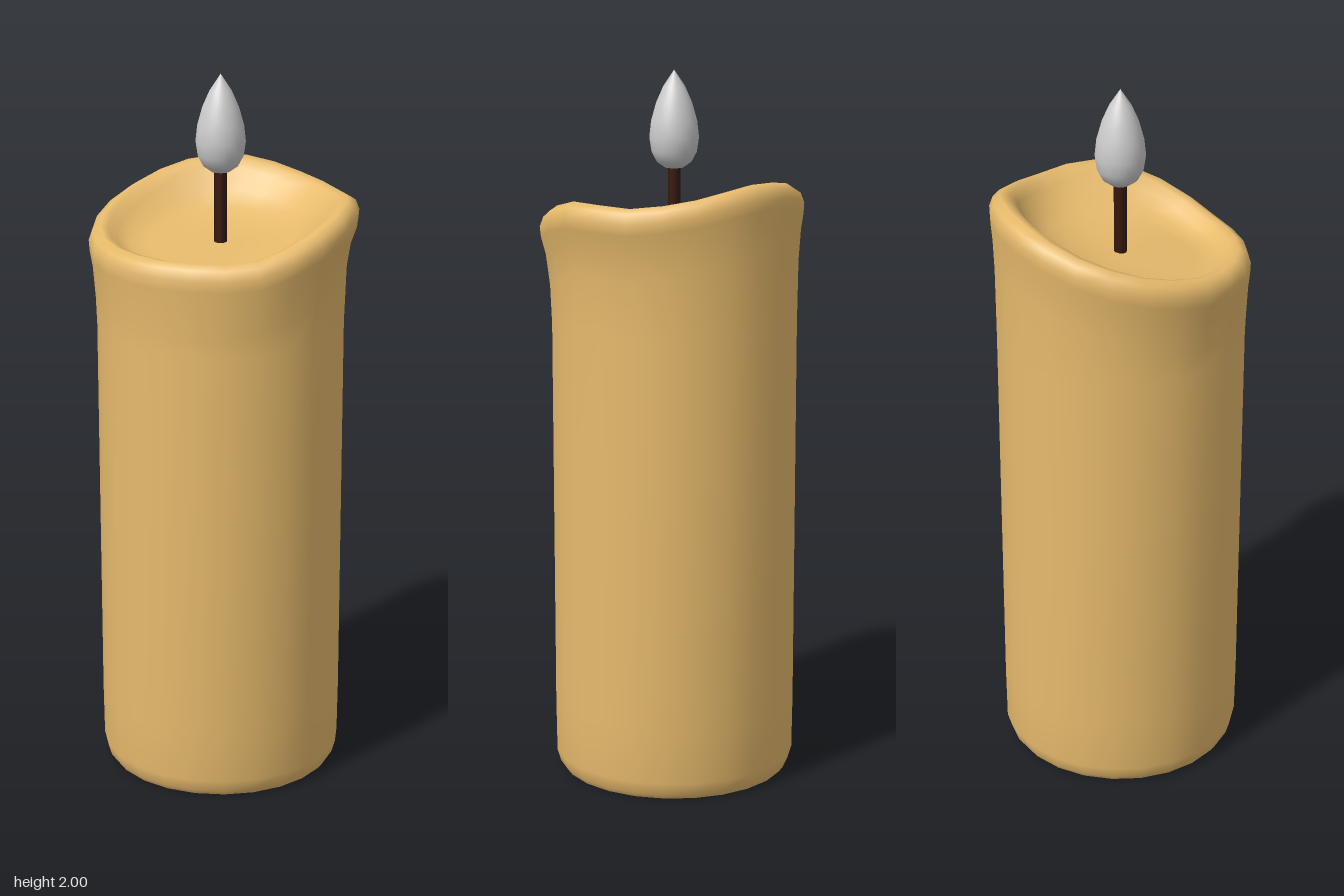
import * as THREE from 'three';

const SEGMENTS = 24;
const AXIS_X = -0.01;

// Rim height every 30 degrees, from +x turning towards +z
const RIM = [1.665, 1.615, 1.555, 1.55, 1.555, 1.567, 1.6, 1.65, 1.7, 1.712, 1.68, 1.657];

// Rim height at a segment, smoothed halfway between the listed values
function rimHeight(j) {
  const i = Math.floor(j / 2);
  const at = (k) => RIM[(k + 12) % 12];
  return j % 2 ? (9 * (at(i) + at(i + 1)) - at(i - 1) - at(i + 2)) / 16 : at(i);
}

// Cross-section of the wax at one segment: base, wall, flared lip, melted bowl
function waxSection(j) {
  const a = (j / SEGMENTS) * Math.PI * 2;
  const c = Math.cos(a);
  const h = rimHeight(j);
  const lip = 0.355 + (0.02 + 0.01 * c) * c * c;
  const flare = (t) => 0.345 + (lip - 0.345) * t;
  const points = [
    [0.322, 0], [0.333, 0.015], [0.343, 0.05], [0.345, 0.2], [0.345, 0.8], [0.345, 1.3],
    [flare(0.15), h - 0.2], [flare(0.5), h - 0.115], [flare(0.9), h - 0.07], [lip, h - 0.04],
    [lip - 0.01, h - 0.013], [lip - 0.032, h], [lip - 0.055, h - 0.006], [lip - 0.078, h - 0.03],
  ];
  // Bowl wall easing down to a floor that dips towards the front
  for (const [r, t] of [[0.25, 0.6], [0.205, 0.25], [0.14, 0.06], [0.07, 0], [0, 0]]) {
    const floor = 1.535 - 0.1 * r * Math.sin(a);
    points.push([r, floor + (h - 0.045 - floor) * t]);
  }
  return points.map(([r, y]) => [AXIS_X + r * c, y, r * Math.sin(a)]);
}

function waxGeometry() {
  const positions = [];
  const index = [];
  let rows = 0;
  for (let j = 0; j < SEGMENTS; j++) {
    const section = waxSection(j);
    rows = section.length;
    positions.push(...section.flat());
  }
  for (let j = 0; j < SEGMENTS; j++) {
    const k = (j + 1) % SEGMENTS;
    for (let i = 0; i < rows - 1; i++) {
      const a = j * rows + i;
      const b = k * rows + i;
      index.push(a, a + 1, b);
      if (i < rows - 2) index.push(b, a + 1, b + 1);
    }
  }
  const geometry = new THREE.BufferGeometry();
  geometry.setAttribute('position', new THREE.Float32BufferAttribute(positions, 3));
  geometry.setIndex(index);
  geometry.computeVertexNormals();
  return geometry;
}

export function createModel() {
  const group = new THREE.Group();
  group.name = 'candle';
  const wax = new THREE.MeshStandardMaterial({ color: 0xe6ba6c });
  const char = new THREE.MeshStandardMaterial({ color: 0x35170c });
  const grey = new THREE.MeshStandardMaterial({ color: 0xcccccc });
  const add = (name, geometry, material) => {
    const mesh = new THREE.Mesh(geometry, material);
    mesh.name = name;
    group.add(mesh);
    return mesh;
  };

  add('waxBody', waxGeometry(), wax);

  // Flat underside
  const base = new THREE.CircleGeometry(0.322, SEGMENTS).rotateX(Math.PI / 2);
  add('waxBase', base, wax).position.x = AXIS_X;

  // Wick from the bowl floor into the flame
  const wick = new THREE.CylinderGeometry(0.018, 0.018, 0.25, 10);
  add('wick', wick, char).position.set(AXIS_X, 1.635, 0);

  // Teardrop flame
  const profile = [
    [0, 1.728], [0.025, 1.731], [0.048, 1.747], [0.063, 1.775], [0.069, 1.815],
    [0.064, 1.86], [0.05, 1.91], [0.03, 1.955], [0, 2],
  ].map(([r, y]) => new THREE.Vector2(r, y));
  add('flame', new THREE.LatheGeometry(profile, 32), grey).position.x = AXIS_X;

  return group;
}
